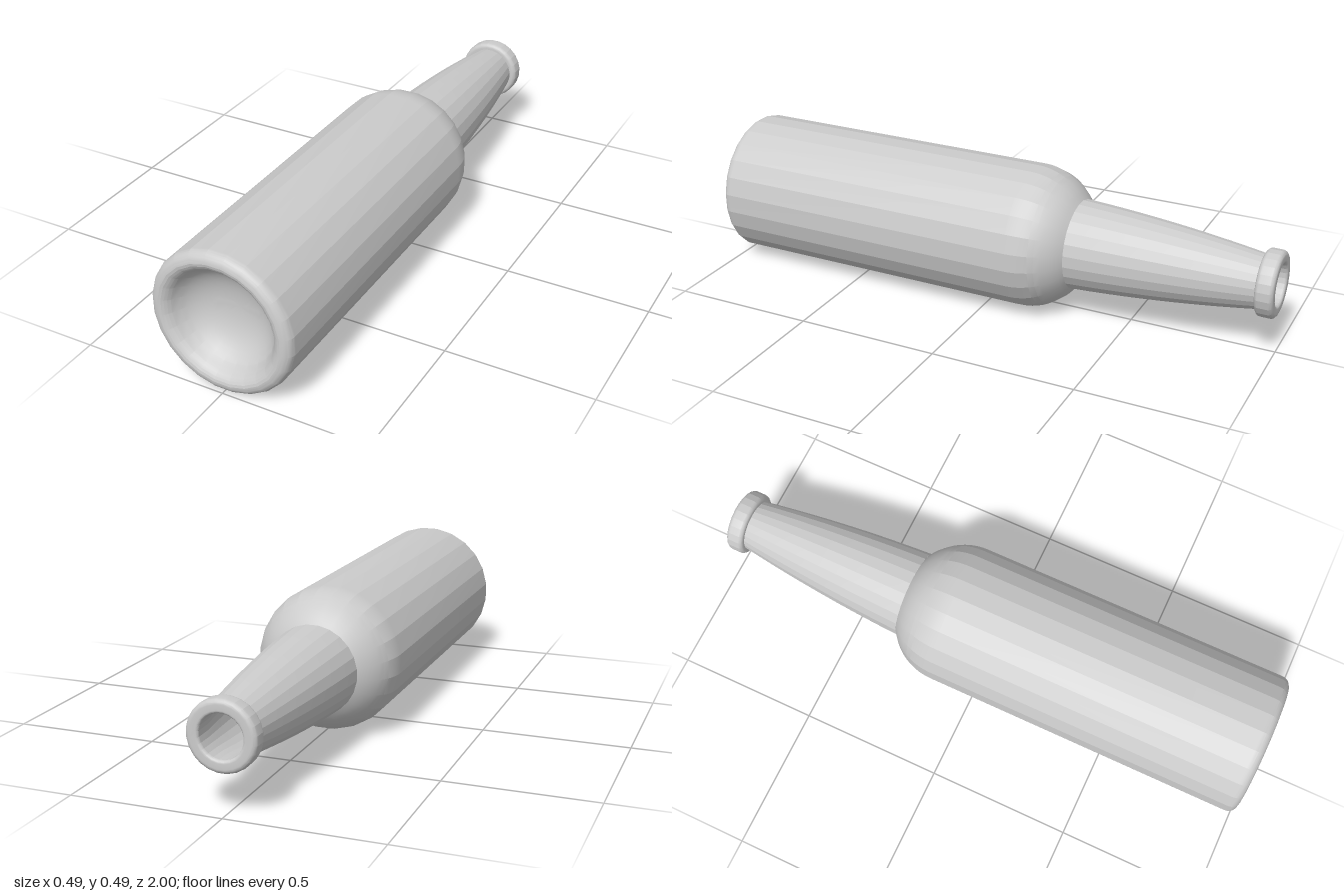
import * as THREE from 'three';
import { toCreasedNormals } from 'three/addons/utils/BufferGeometryUtils.js';

const SIDES = 24;
const AXIS_Y = 0.2465;
const material = new THREE.MeshStandardMaterial({ color: 0xcccccc });

// Points [radius, height] on an elliptical arc, angles in degrees.
function arc(cr, ch, rr, rh, from, to, steps) {
  return Array.from({ length: steps + 1 }, (_, i) => {
    const a = THREE.MathUtils.degToRad(from + ((to - from) * i) / steps);
    return [cr + rr * Math.cos(a), ch + rh * Math.sin(a)];
  });
}

// Points [radius, height] on a quadratic curve.
function bend(a, b, c, steps) {
  const v = [a, b, c].map((p) => new THREE.Vector2(...p));
  return new THREE.QuadraticBezierCurve(...v).getPoints(steps).map((p) => [p.x, p.y]);
}

// Turned part lying along z: facets stay flat around it, smooth along its profile.
function turned(name, profile) {
  const points = profile.map(([r, h]) => new THREE.Vector2(Math.max(r, 0), h));
  const lathe = new THREE.LatheGeometry(points, SIDES, Math.PI / SIDES);
  lathe.rotateX(-Math.PI / 2);
  const mesh = new THREE.Mesh(toCreasedNormals(lathe, THREE.MathUtils.degToRad(14)), material);
  mesh.name = name;
  return mesh;
}

export function createModel() {
  const bottle = new THREE.Group();
  bottle.name = 'bottle';

  // Body: hollowed base, rounded foot, straight wall and round shoulder
  bottle.add(turned('body', [
    ...bend([0, -0.88], [0.13, -0.88], [0.175, -0.965], 10),
    ...bend([0.175, -0.965], [0.19, -0.998], [0.213, -1], 5).slice(1),
    ...arc(0.213, -0.966, 0.0345, 0.034, -90, 0, 8).slice(1),
    ...arc(0.0365, 0.13, 0.211, 0.211, 0, 56, 10),
  ]));

  // Neck: gently bulging taper
  bottle.add(turned('neck', bend([0.155, 0.305], [0.139, 0.63], [0.09, 0.945], 10)));

  // Lip: rounded ring around the mouth
  bottle.add(turned('lip', [
    [0.085, 0.938],
    ...arc(0.097, 0.954, 0.016, 0.016, -90, 0, 8),
    ...arc(0.097, 0.984, 0.016, 0.016, 0, 90, 8),
    ...arc(0.08, 0.99, 0.01, 0.01, 90, 180, 7),
  ]));

  // Bore: inside of the neck, opening into a closed cavity
  bottle.add(turned('bore', [
    [0.07, 0.99], [0.072, 0.93],
    ...bend([0.072, 0.93], [0.118, 0.63], [0.135, 0.305], 6).slice(1),
    [0.225, 0.12], [0.225, -0.82], [0, -0.82],
  ]));

  bottle.position.y = AXIS_Y;
  const root = new THREE.Group();
  root.add(bottle);
  return root;
}
